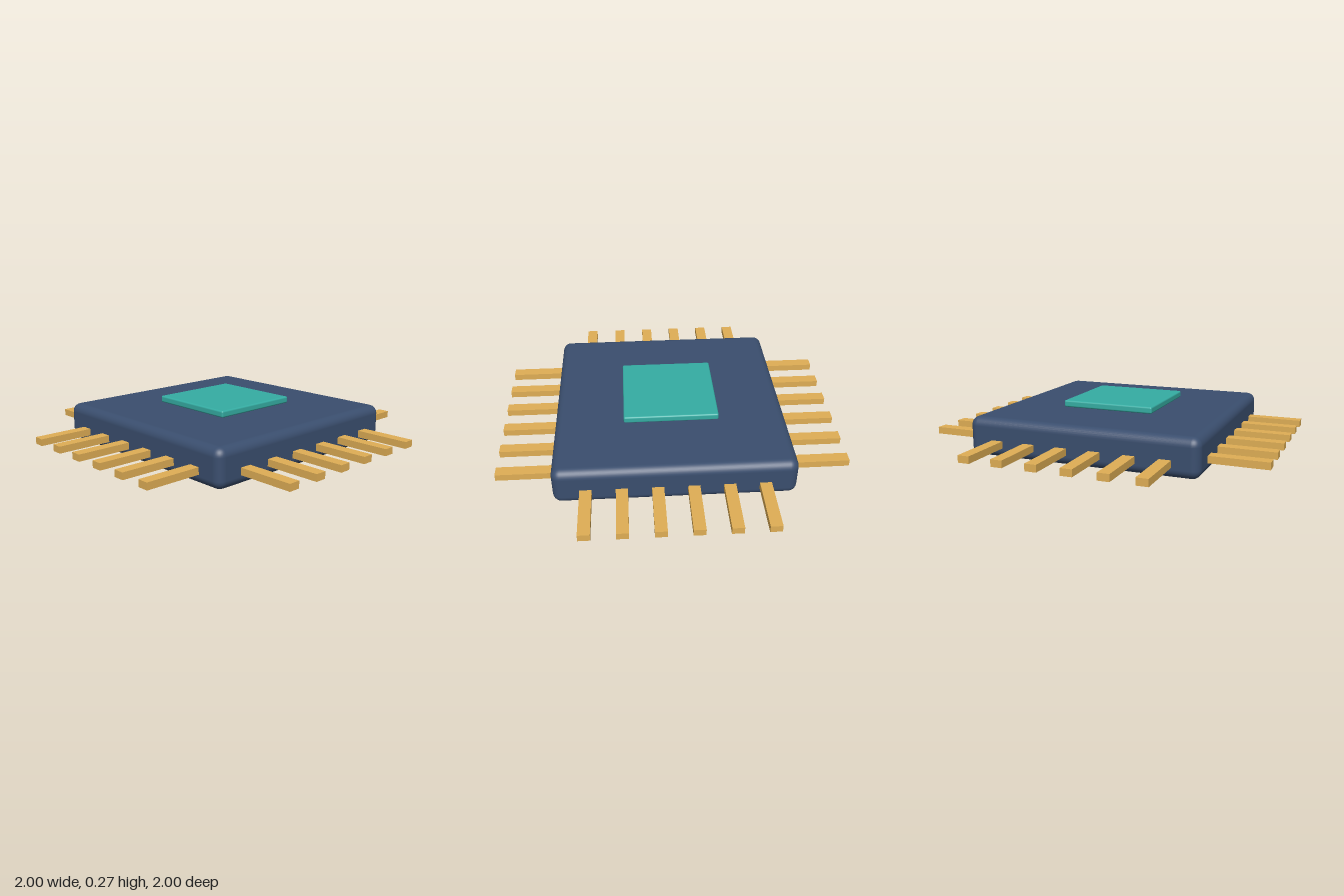
import * as THREE from 'three';
import { RoundedBoxGeometry } from 'three/addons/geometries/RoundedBoxGeometry.js';

export function createModel() {
  const model = new THREE.Group();
  model.name = 'microchip';

  const bodyMat = new THREE.MeshStandardMaterial({ color: 0x3a4e6e });
  const lidMat = new THREE.MeshStandardMaterial({ color: 0x35ada3 });
  const pinMat = new THREE.MeshStandardMaterial({ color: 0xdfae55 });

  const add = (parent, name, geometry, material, x, y, z) => {
    const mesh = new THREE.Mesh(geometry, material);
    mesh.name = name;
    mesh.position.set(x, y, z);
    parent.add(mesh);
  };

  // Rounded package and the thin plate just above it
  add(model, 'body', new RoundedBoxGeometry(1.35, 0.222, 1.35, 4, 0.05), bodyMat, 0, 0.111, 0);
  add(model, 'lid', new RoundedBoxGeometry(0.55, 0.04, 0.55, 3, 0.01), lidMat, 0, 0.252, 0);

  // Six straight pins per side, rooted inside the package
  const count = 6, pitch = 0.197, inner = 0.64;
  const pinGeo = new THREE.BoxGeometry(0.066, 0.04, 1 - inner);
  ['front', 'left', 'back', 'right'].forEach((side, s) => {
    const row = new THREE.Group();
    row.name = side + 'Pins';
    row.rotation.y = s * Math.PI / 2;
    for (let i = 0; i < count; i++) {
      add(row, 'pin', pinGeo, pinMat, (i - (count - 1) / 2) * pitch, 0.079, (1 + inner) / 2);
    }
    model.add(row);
  });

  return model;
}
